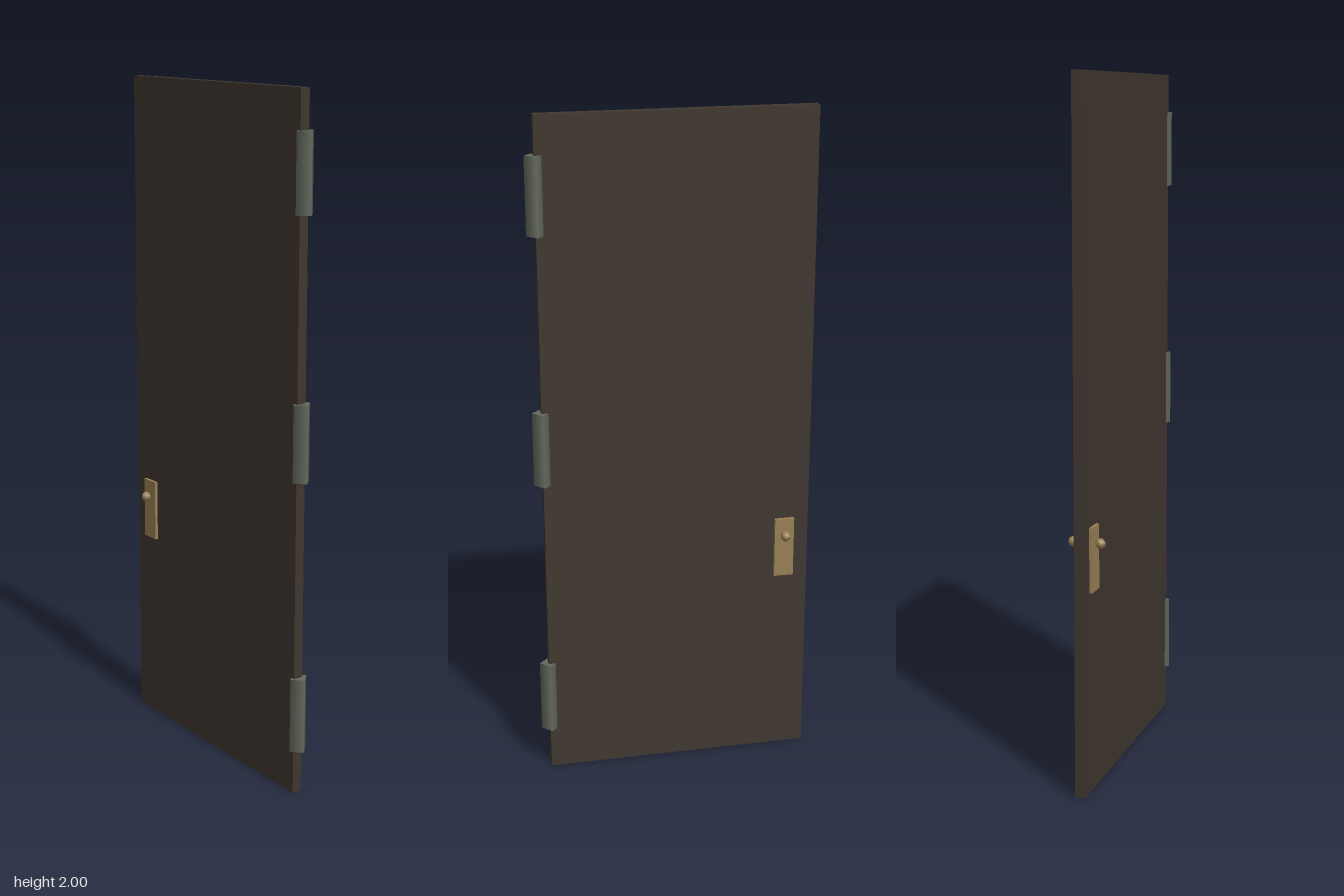
import * as THREE from 'three';

export function createModel() {
  const group = new THREE.Group();
  group.name = 'door';

  const material = (name, color) => {
    const m = new THREE.MeshStandardMaterial({ color });
    m.name = name;
    return m;
  };
  const wood = material('darkWood', 0x40372f);
  const brass = material('brass', 0x9a8056);
  const steel = material('greySteel', 0x646a5e);

  const add = (name, geometry, mat, x, y, z) => {
    const mesh = new THREE.Mesh(geometry, mat);
    mesh.name = name;
    mesh.position.set(x, y, z);
    group.add(mesh);
    return mesh;
  };

  // Plain slab
  add('doorPanel', new THREE.BoxGeometry(0.797, 2, 0.029), wood, -0.0135, 1, 0.0005);

  // Four-sided hinge barrels, corner-on to the door edge
  const hinge = new THREE.CylinderGeometry(0.029, 0.029, 0.222, 4);
  const hingeHeights = { lowerHinge: 0.242, middleHinge: 1.043, upperHinge: 1.779 };
  for (const [name, y] of Object.entries(hingeHeights)) {
    add(name, hinge, steel, 0.382, y, -0.003);
  }

  // Lock plate and faceted knob on both faces
  const plate = new THREE.BoxGeometry(0.059, 0.185, 0.011);
  const knob = new THREE.SphereGeometry(0.0155, 6, 6);
  knob.rotateY(Math.PI / 2); // a corner points away from the door
  for (const [side, s] of [['front', 1], ['back', -1]]) {
    add(side + 'LockPlate', plate, brass, -0.3375, 0.677, -0.001 + s * 0.0195);
    add(side + 'Knob', knob, brass, -0.337, 0.72, -0.002 + s * 0.0395);
  }

  return group;
}
